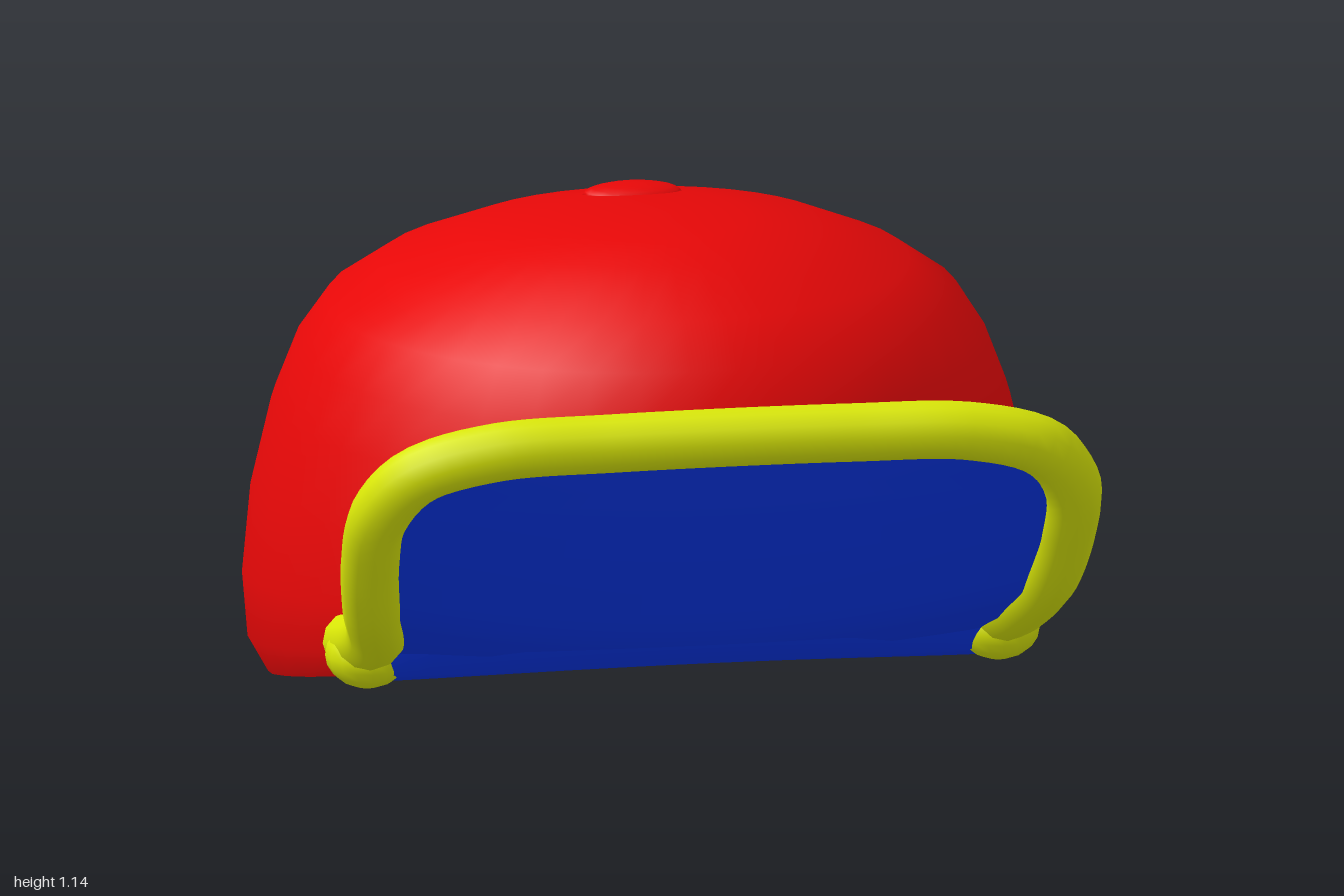
import * as THREE from 'three';

const SEG = 40;

function material(name, color) {
  const m = new THREE.MeshStandardMaterial({ color, side: THREE.DoubleSide });
  m.name = name;
  return m;
}

function add(group, name, geometry, mat) {
  const mesh = new THREE.Mesh(geometry, mat);
  mesh.name = name;
  group.add(mesh);
  return mesh;
}

function build(positions, index) {
  const g = new THREE.BufferGeometry();
  g.setAttribute('position', new THREE.Float32BufferAttribute(positions, 3));
  g.setIndex(index);
  g.computeVertexNormals();
  return g;
}

// Point on a tilted ellipse: [front z, front y, back z, back y, half width, side dip]
function ringPoint([zf, yf, zb, yb, w, dip = 0], angle) {
  const s = Math.sin(angle), t = (1 + Math.cos(angle)) / 2;
  return [w * s, yb + (yf - yb) * t - dip * s * s, zb + (zf - zb) * t];
}

// Rings joined into a dome; one level is left open at the back for the strap slot
function shell(rings, apex, slotLevel) {
  const pos = [], index = [];
  for (const ring of rings) {
    for (let j = 0; j < SEG; j++) pos.push(...ringPoint(ring, (j / SEG) * Math.PI * 2));
  }
  pos.push(...apex);
  const top = rings.length * SEG;
  for (let i = 0; i < rings.length; i++) {
    for (let j = 0; j < SEG; j++) {
      const k = (j + 1) % SEG, a = i * SEG + j, b = i * SEG + k;
      if (i === rings.length - 1) index.push(a, b, top);
      else if (i !== slotLevel || j < SEG / 2 - 2 || j >= SEG / 2 + 2) {
        index.push(a, b, b + SEG, a, b + SEG, a + SEG);
      }
    }
  }
  return build(pos, index);
}

// Band over the front part of some rings, up to an angle on each side
function frontBand(rings, maxAngle) {
  const N = 24, pos = [], index = [];
  rings.forEach((ring, i) => {
    for (let j = 0; j <= N; j++) {
      pos.push(...ringPoint(ring, ((j / N) * 2 - 1) * maxAngle));
      if (i && j) {
        const b = i * (N + 1) + j, a = b - N - 1;
        index.push(a - 1, a, b, a - 1, b, b - 1);
      }
    }
  });
  return build(pos, index);
}

const outerRings = [
  [0.56, 0.4, -0.94, 0.0, 0.74, 0.035],
  [0.585, 0.435, -0.98, 0.09, 0.78, 0.03],
  [0.59, 0.5, -1.0, 0.22, 0.79],
  [0.585, 0.62, -0.97, 0.46, 0.775],
  [0.56, 0.76, -0.93, 0.67, 0.735],
  [0.53, 0.87, -0.88, 0.8, 0.69],
  [0.48, 0.97, -0.8, 0.895, 0.63],
  [0.4, 1.05, -0.7, 0.965, 0.53],
  [0.25, 1.12, -0.5, 1.05, 0.37],
  [0.15, 1.14, -0.32, 1.1, 0.2],
];

// Rim fold first, then the lining up to the top
const innerRings = [
  [0.56, 0.4, -0.94, 0.0, 0.74, 0.035],
  [0.49, 0.415, -0.85, 0.09, 0.63, 0.03],
  [0.5, 0.46, -0.89, 0.19, 0.67],
  [0.53, 0.54, -0.92, 0.27, 0.71],
  [0.51, 0.74, -0.87, 0.65, 0.68],
  [0.42, 0.95, -0.74, 0.87, 0.56],
  [0.22, 1.07, -0.48, 1.0, 0.33],
];

// Blue root of the brim, wrapped under the front of the rim
const rootRings = [
  [0.475, 0.425, -0.85, 0.09, 0.615, 0.03],
  [0.555, 0.385, -0.94, -0.015, 0.735, 0.035],
  [0.6, 0.4, -0.96, 0.04, 0.765, 0.035],
  [0.64, 0.45, -0.98, 0.1, 0.785, 0.03],
];

// Edge of the brim on one side, [x, y, z], from the crown to the front centre
const edge = [
  [0.66, 0.36, 0.23], [0.64, 0.4, 0.35], [0.65, 0.465, 0.5], [0.68, 0.56, 0.64],
  [0.7, 0.7, 0.755], [0.695, 0.82, 0.84], [0.63, 0.915, 0.9], [0.48, 0.965, 0.93],
  [0.24, 0.975, 0.935],
];
const FRONT = 0.935;
const SHIFT = 0.015;

function edgeHeight(z) {
  for (let i = 1; i < edge.length; i++) {
    const [, y0, z0] = edge[i - 1], [, y1, z1] = edge[i];
    if (z <= z1) return y0 + ((y1 - y0) * (z - z0)) / (z1 - z0);
  }
  return edge[edge.length - 1][1];
}

// Brim sheet: rows across the edge curve, trimmed to the front of the crown
function brimSheet(offset) {
  const N = 32, pos = [], index = [], rows = [];
  for (let i = 0; i < edge.length - 1; i++) {
    for (let k = 0; k < 3; k++) {
      rows.push(edge[i].map((v, c) => v + ((edge[i + 1][c] - v) * k) / 3));
    }
  }
  rows.forEach(([w, , zr], i) => {
    for (let j = 0; j <= N; j++) {
      const u = (j / N) * 2 - 1, x = u * w;
      const z = Math.max(zr, -0.2 + 0.76 * Math.sqrt(1 - (x / 0.75) ** 2));
      const sag = 0.075 * (1 - u * u) * Math.min(1, Math.max(0, FRONT - z) * 3);
      pos.push(x + SHIFT, edgeHeight(z) - sag + offset, z - offset * 0.8);
      if (i && j) {
        const a = i * (N + 1) + j, b = a - N - 1;
        index.push(b - 1, a - 1, a, b - 1, a, b);
      }
    }
  });
  return build(pos, index);
}

export function createModel() {
  const red = material('red cloth', 0xea0808);
  const blue = material('blue lining', 0x0838f4);
  const yellow = material('yellow trim', 0xdeec08);
  const cap = new THREE.Group();
  cap.name = 'cap';

  // Crown
  add(cap, 'crown', shell(outerRings, [0, 1.14, -0.03], 1), red);
  add(cap, 'crownLining', shell(innerRings, [0, 1.08, -0.1], 2), red);
  const ridge = add(cap, 'topRidge', new THREE.SphereGeometry(1, 16, 10), red);
  ridge.scale.set(0.1, 0.022, 0.05);
  ridge.position.set(0, 1.1, -0.3);

  // Upturned brim
  add(cap, 'brimTop', brimSheet(0.012), red);
  add(cap, 'brimUnderside', brimSheet(-0.016), blue);
  add(cap, 'brimRoot', frontBand(rootRings, 1.02), blue);

  // Rounded trim along the brim edge
  const R = 0.06;
  const half = edge.map(([x, y, z]) => new THREE.Vector3(x, y, z));
  const mirrored = half.map((p) => new THREE.Vector3(-p.x, p.y, p.z)).reverse();
  const points = [...half, ...mirrored].map((p) => p.setX(p.x + SHIFT));
  const path = new THREE.CatmullRomCurve3(points);
  add(cap, 'brimTrim', new THREE.TubeGeometry(path, 100, R, 12), yellow);

  // Wide folded ends of the trim, tucked under the rim
  for (const side of [-1, 1]) {
    const end = add(cap, 'trimEnd', new THREE.SphereGeometry(1, 16, 10), yellow);
    end.scale.set(0.085, 0.07, 0.085);
    end.position.set(side * 0.635 + SHIFT, 0.35, 0.275);
  }

  // Thin tail of trim running back along the left of the rim
  const from = new THREE.Vector3(0.69, 0.335, 0.22), to = new THREE.Vector3(0.755, 0.28, 0);
  const tailGeo = new THREE.CylinderGeometry(0.012, 0.045, from.distanceTo(to), 10);
  tailGeo.rotateX(Math.PI / 2);
  const tail = add(cap, 'trimTail', tailGeo, yellow);
  tail.position.copy(from).lerp(to, 0.5);
  tail.lookAt(to);

  return cap;
}
